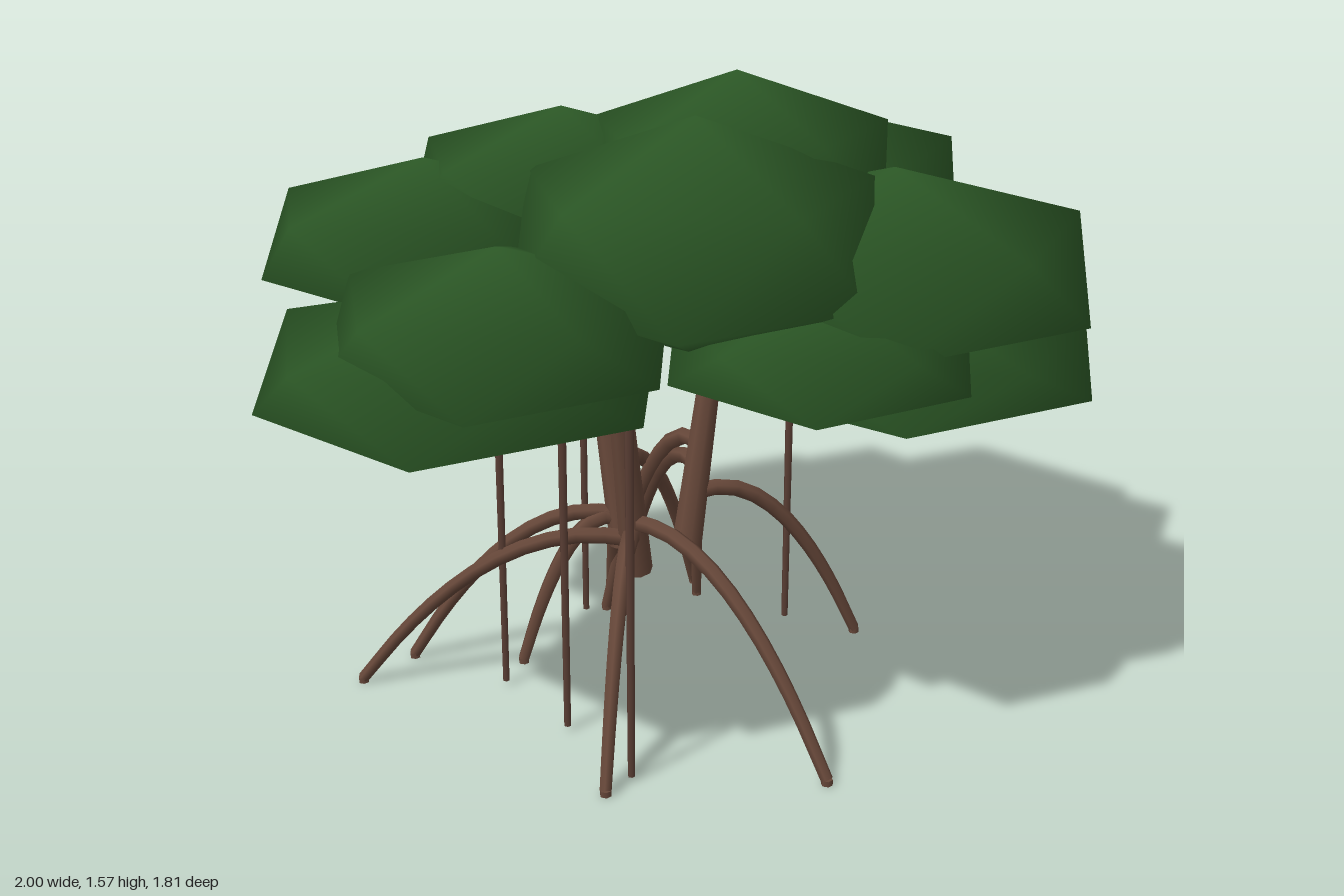
import * as THREE from 'three';

const mat = (name, color) => {
  const m = new THREE.MeshStandardMaterial({ color });
  m.name = name;
  return m;
};

export function createModel() {
  const leaf = mat('leaf green', 0x2d5a27);
  const bark = mat('bark brown', 0x664739);
  const aerial = mat('aerial root brown', 0x5a3e34);
  const tree = new THREE.Group();
  tree.name = 'mangroveTree';

  const add = (geometry, material, name) => {
    const mesh = new THREE.Mesh(geometry, material);
    mesh.name = name;
    tree.add(mesh);
    return mesh;
  };

  // Straight tapered limb between two points
  const limb = (a, b, r0, r1, sides, material, name) => {
    const from = new THREE.Vector3(...a), to = new THREE.Vector3(...b);
    const dir = to.clone().sub(from);
    const mesh = add(new THREE.CylinderGeometry(r1, r0, dir.length(), sides), material, name);
    mesh.position.copy(from).lerp(to, 0.5);
    mesh.quaternion.setFromUnitVectors(new THREE.Vector3(0, 1, 0), dir.normalize());
  };

  // Three splayed trunks
  const trunks = [
    [[-0.1, 0.33, 0.14], [-0.165, 0.92, 0.225]],
    [[0.055, 0.33, 0.02], [0.15, 0.92, -0.05]],
    [[-0.1, 0.33, -0.02], [-0.16, 0.88, -0.11]],
  ];
  trunks.forEach(([a, b]) => limb(a, b, 0.04, 0.026, 8, bark, 'trunk'));

  // Arched stilt roots: trunk index, starting height, foot x, foot z
  const roots = [
    [0, 0.42, -0.79, -0.03], [0, 0.44, -0.27, 0.63], [0, 0.47, 0.24, 0.69],
    [1, 0.47, 0.54, -0.04], [1, 0.50, 0.17, -0.36], [1, 0.54, -0.03, -0.44],
    [2, 0.41, -0.65, -0.14], [2, 0.40, -0.37, -0.05], [1, 0.60, -0.10, -0.32],
    [2, 0.38, -0.08, -0.36], [2, 0.53, 0.18, -0.44],
  ];
  const SEGMENTS = 12, SIDES = 6;
  for (const [t, h, fx, fz] of roots) {
    const [a, b] = trunks[t].map(p => new THREE.Vector3(...p));
    const start = a.clone().lerp(b, (h - a.y) / (b.y - a.y));
    const points = [];
    for (let i = 0; i <= 6; i++) {
      const u = i / 6;
      points.push(new THREE.Vector3(
        THREE.MathUtils.lerp(start.x, fx, u),
        0.012 + (h - 0.012) * (1 - u * u) + 0.14 * u * (1 - u),
        THREE.MathUtils.lerp(start.z, fz, u)));
    }
    const curve = new THREE.CatmullRomCurve3(points);
    const tube = new THREE.TubeGeometry(curve, SEGMENTS, 0.023, SIDES, false);
    // Narrow each ring toward the foot
    const pos = tube.attributes.position, v = new THREE.Vector3();
    for (let i = 0; i < pos.count; i++) {
      const u = Math.floor(i / (SIDES + 1)) / SEGMENTS;
      const c = curve.getPointAt(u);
      v.fromBufferAttribute(pos, i).sub(c).multiplyScalar(1 - 0.35 * u).add(c);
      pos.setXYZ(i, v.x, Math.max(0, v.y), v.z);
    }
    add(tube, bark, 'stiltRoot');
    // Closed foot
    limb([fx, 0, fz], [fx, 0.014, fz], 0.014, 0.014, 6, bark, 'rootFoot');
  }

  // Thin roots hanging from the canopy
  const hangers = [[-0.2, 0.58], [-0.31, 0.32], [-0.43, 0.06], [0.375, -0.155], [-0.16, -0.31]];
  for (const [x, z] of hangers) {
    limb([x, 0.012, z], [x, 0.93, z], 0.009, 0.011, 6, aerial, 'hangingRoot');
  }

  // Flattened leaf clumps: centre, then radii
  const clumps = [
    [0.15, 1.335, 0.11, 0.42, 0.235, 0.39],
    [-0.02, 1.25, 0.42, 0.46, 0.27, 0.47],
    [0.35, 1.235, -0.22, 0.525, 0.21, 0.56],
    [-0.24, 1.28, -0.07, 0.42, 0.19, 0.43],
    [-0.58, 1.185, 0.02, 0.435, 0.19, 0.42],
    [-0.47, 1.10, 0.53, 0.415, 0.18, 0.44],
    [-0.55, 0.99, 0.43, 0.50, 0.18, 0.48],
    [0.47, 1.145, 0.33, 0.52, 0.225, 0.54],
    [0.59, 1.07, -0.12, 0.46, 0.21, 0.43],
    [0.53, 0.91, 0.31, 0.505, 0.14, 0.46],
    [0.24, 1.01, 0.53, 0.385, 0.14, 0.40],
    [0.22, 0.97, -0.54, 0.36, 0.16, 0.43],
    [-0.20, 1.14, -0.45, 0.385, 0.17, 0.42],
    [-0.35, 0.865, -0.25, 0.41, 0.145, 0.43],
  ];
  for (const [x, y, z, rx, ry, rz] of clumps) {
    const g = new THREE.IcosahedronGeometry(1, 0);
    // Stand the solid on a corner, flatten it, then shade it smoothly from its centre
    g.rotateZ(-Math.atan2(1, (1 + Math.sqrt(5)) / 2));
    g.scale(rx, ry, rz);
    g.attributes.normal.copy(g.attributes.position);
    g.normalizeNormals();
    add(g, leaf, 'leafClump').position.set(x, y, z);
  }

  return tree;
}
